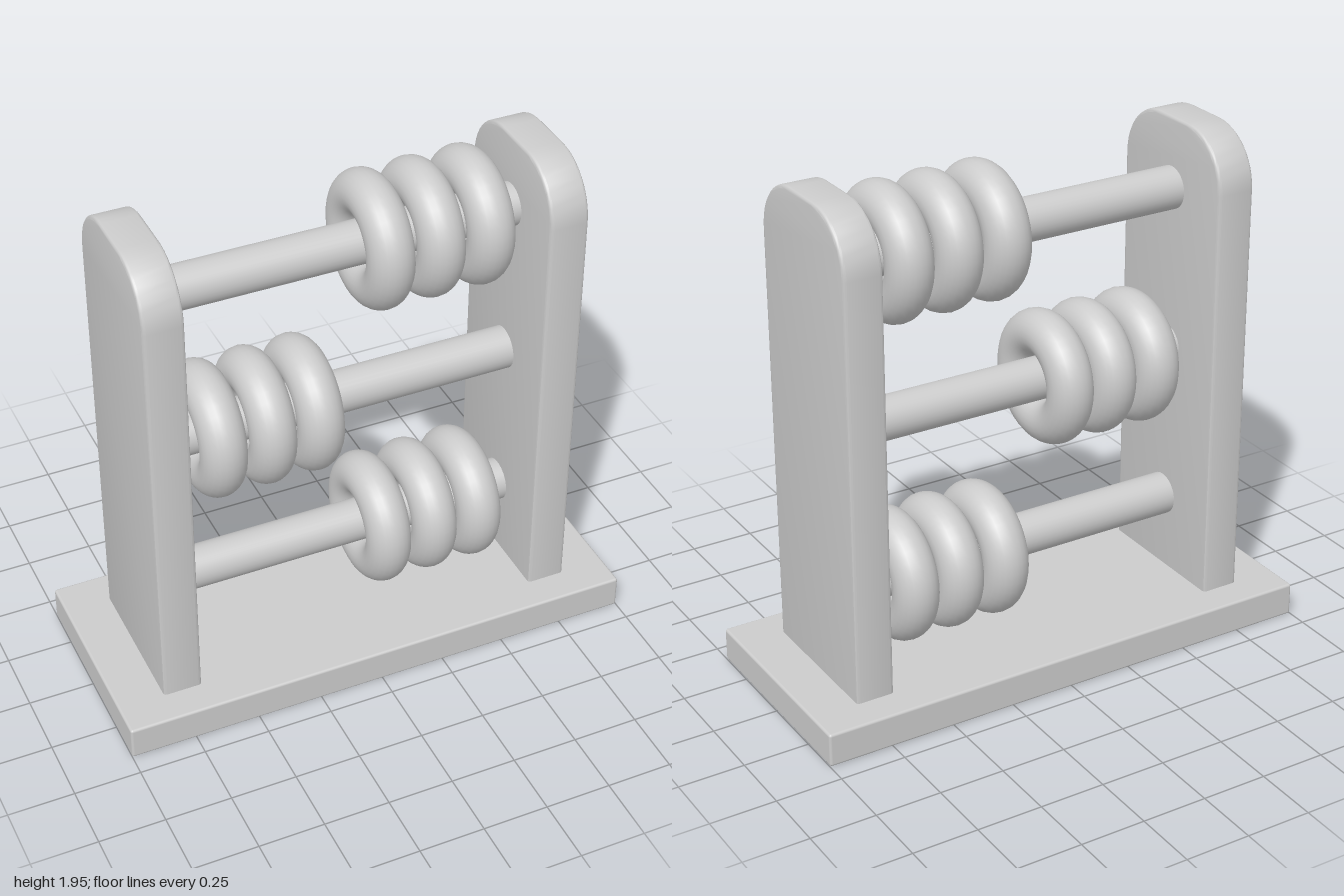
import * as THREE from 'three';
import { toCreasedNormals } from 'three/addons/utils/BufferGeometryUtils.js';
import { RoundedBoxGeometry } from 'three/addons/geometries/RoundedBoxGeometry.js';

const material = new THREE.MeshStandardMaterial({ color: 0xcccccc });

function part(name, geometry, x, y, z, parent) {
  const mesh = new THREE.Mesh(geometry, material);
  mesh.name = name;
  mesh.position.set(x, y, z);
  parent.add(mesh);
  return mesh;
}

// Upright board with rounded top corners, profile in z/y, thickness along x
function uprightGeometry(halfDepth, bottom, top, thickness, bevel) {
  const w = halfDepth - bevel, t = top - bevel, r = 0.2, k = r * 0.55;
  const s = new THREE.Shape();
  s.moveTo(-w, bottom);
  s.lineTo(w, bottom);
  s.lineTo(w, t - r);
  s.bezierCurveTo(w, t - r + k, w - r + k, t, w - r, t);
  s.lineTo(r - w, t);
  s.bezierCurveTo(r - w - k, t, -w, t - r + k, -w, t - r);
  s.closePath();
  const g = new THREE.ExtrudeGeometry(s, {
    depth: thickness - 2 * bevel, bevelEnabled: true, bevelSize: bevel,
    bevelThickness: bevel, bevelSegments: 3, curveSegments: 12,
  });
  g.translate(0, 0, bevel - thickness / 2);
  g.rotateY(Math.PI / 2);
  return toCreasedNormals(g, 0.6);
}

export function createModel() {
  const model = new THREE.Group();
  model.name = 'abacus';

  // Base board
  part('base', new RoundedBoxGeometry(2, 0.13, 0.84, 3, 0.01), 0, 0.065, 0, model);

  // Two uprights
  const upright = uprightGeometry(0.295, 0.1, 1.95, 0.148, 0.012);
  part('leftUpright', upright, 0.75, 0, 0, model);
  part('rightUpright', upright, -0.75, 0, 0, model);

  // Rods, each carrying three ring beads
  const rod = new THREE.CylinderGeometry(0.081, 0.081, 1.45, 32).rotateZ(Math.PI / 2);
  const bead = new THREE.TorusGeometry(0.17, 0.085, 24, 40).rotateY(Math.PI / 2);
  const rows = [
    { name: 'bottom', y: 0.43, beads: [0.135, 0.325, 0.51] },
    { name: 'middle', y: 1.058, beads: [-0.51, -0.322, -0.138] },
    { name: 'top', y: 1.684, beads: [0.126, 0.318, 0.51] },
  ];
  for (const { name, y, beads } of rows) {
    const row = new THREE.Group();
    row.name = name + 'Row';
    row.position.y = y;
    part(name + 'Rod', rod, 0, 0, 0, row);
    beads.forEach((x, i) => part(name + 'Bead' + (i + 1), bead, x, 0, 0, row));
    model.add(row);
  }
  return model;
}
